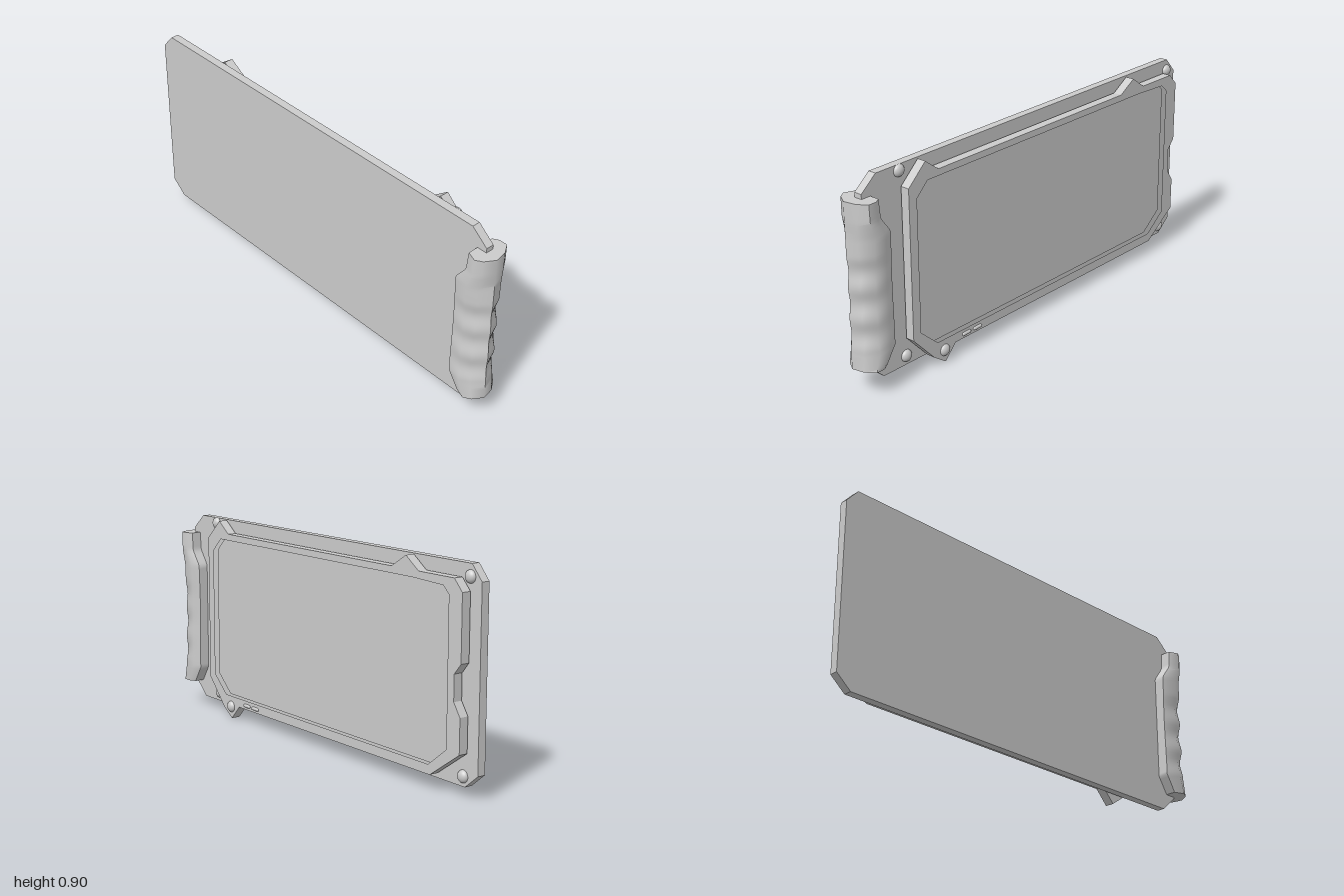
import * as THREE from 'three';
import { toCreasedNormals } from 'three/addons/utils/BufferGeometryUtils.js';

const grey = new THREE.MeshStandardMaterial({ color: 0xcccccc });

// Outlines are [z, y] pairs, extruded along x
const toPoints = (outline) => outline.map(([z, y]) => new THREE.Vector2(-z, y));

function slab(name, outline, x0, x1, hole) {
  const shape = new THREE.Shape(toPoints(outline));
  if (hole) shape.holes.push(new THREE.Path(toPoints(hole)));
  const geo = new THREE.ExtrudeGeometry(shape, { depth: x1 - x0, bevelEnabled: false });
  geo.rotateY(Math.PI / 2).translate(x0, 0, 0);
  const mesh = new THREE.Mesh(geo, grey);
  mesh.name = name;
  return mesh;
}

// Domed bolt head facing +x
function bolt(name, x, y, z) {
  const geo = new THREE.SphereGeometry(0.026, 20, 8, 0, Math.PI * 2, 0, Math.PI / 2);
  geo.scale(1, 0.75, 1).rotateZ(-Math.PI / 2);
  const mesh = new THREE.Mesh(geo, grey);
  mesh.name = name;
  mesh.position.set(x, y, z);
  return mesh;
}

// Grip: an eight-sided section lofted upwards, with finger grooves at the front
function grip() {
  const section = [
    [-0.065, 0.84], [0.062, 0.84], [0.077, 0.88], [0.077, 0.94],
    [0.035, 0.984], [-0.02, 1.0], [-0.065, 0.957], [-0.083, 0.91],
  ];
  const y0 = 0.115, y1 = 0.815, rows = 56, n = section.length;
  const backKeys = [[0.115, 0.893], [0.19, 0.845], [0.67, 0.845], [0.735, 0.893], [0.815, 0.9]];
  const backAt = (y) => {
    const i = Math.max(1, backKeys.findIndex((k) => k[0] >= y - 1e-6));
    const [a, b] = [backKeys[i - 1], backKeys[i]];
    return THREE.MathUtils.lerp(a[1], b[1], (y - a[0]) / (b[0] - a[0]));
  };
  const pos = [], index = [];
  for (let j = 0; j <= rows; j++) {
    const y = y0 + ((y1 - y0) * j) / rows;
    const back = backAt(Math.min(y, y1));
    const inGrooves = y > 0.198 && y < 0.597;
    const dip = inGrooves ? 0.5 - 0.5 * Math.cos((2 * Math.PI * (y - 0.198)) / 0.133) : 0;
    const swell = 0.97 + 0.03 * Math.cos((2 * Math.PI * (y - 0.2)) / 0.52);
    section.forEach(([x, z], i) => {
      const s = i >= 3 ? 1 - 0.1 * dip : 1;
      const zz = 1 - ((1 - z) * (1 - back)) / 0.16;
      const push = i === 4 ? 0.014 : i === 6 ? 0.01 : i === 5 ? 0.005 : 0;
      pos.push(x * s * swell, y, zz - push * dip);
    });
  }
  const top = rows * n;
  for (let i = 0; i < n; i++) {
    const k = (i + 1) % n;
    for (let j = 0; j < rows; j++) {
      const a = j * n + i, b = j * n + k;
      index.push(a, a + n, b, b, a + n, b + n);
    }
    // End caps
    if (i > 0 && i < n - 1) {
      index.push(top, top + i + 1, top + i);
      index.push(0, i, i + 1);
    }
  }
  const geo = new THREE.BufferGeometry();
  geo.setAttribute('position', new THREE.Float32BufferAttribute(pos, 3));
  geo.setIndex(index);
  const mesh = new THREE.Mesh(toCreasedNormals(geo, 0.95), grey);
  mesh.name = 'grip';
  return mesh;
}

export function createModel() {
  const group = new THREE.Group();
  group.name = 'handheldShield';

  // Back plate with cut corners
  group.add(slab('backPlate', [
    [0.87, 0.897], [0.945, 0.835], [0.945, 0.11], [0.87, 0.042],
    [-0.93, 0.042], [-1, 0.1], [-1, 0.835], [-0.945, 0.897],
  ], -0.018, 0.018));

  // Raised frame with corner tabs and a side notch
  const opening = [
    [0.71, 0.757], [0.65, 0.815], [-0.673, 0.815], [-0.845, 0.808], [-0.877, 0.778],
    [-0.877, 0.185], [-0.775, 0.105], [0.62, 0.105], [0.71, 0.185],
  ];
  group.add(slab('frame', [
    [0.752, 0.165], [0.752, 0.81], [0.66, 0.895], [0.59, 0.843], [-0.545, 0.843],
    [-0.63, 0.895], [-0.705, 0.843], [-0.905, 0.843], [-0.95, 0.795], [-0.95, 0.527],
    [-0.914, 0.484], [-0.914, 0.377], [-0.95, 0.324], [-0.95, 0.18], [-0.785, 0.065],
    [0.517, 0.065], [0.577, 0.002], [0.64, 0.045],
  ], 0.028, 0.068, opening));
  group.add(slab('recessedPanel', opening, 0.028, 0.046));

  // Bolts: four on the plate, one on the frame tab
  [[0.873, 0.753], [0.848, -0.94], [0.083, 0.748], [0.083, -0.92]]
    .forEach(([y, z]) => group.add(bolt('plateBolt', 0.018, y, z)));
  group.add(bolt('frameBolt', 0.065, 0.056, 0.58));

  // Two small rounded buttons
  for (const z of [0.453, 0.388]) {
    const button = new THREE.Mesh(new THREE.CapsuleGeometry(0.008, 0.034, 4, 10), grey);
    button.name = 'button';
    button.rotation.x = Math.PI / 2;
    button.position.set(0.068, 0.083, z);
    group.add(button);
  }

  group.add(grip());
  return group;
}
